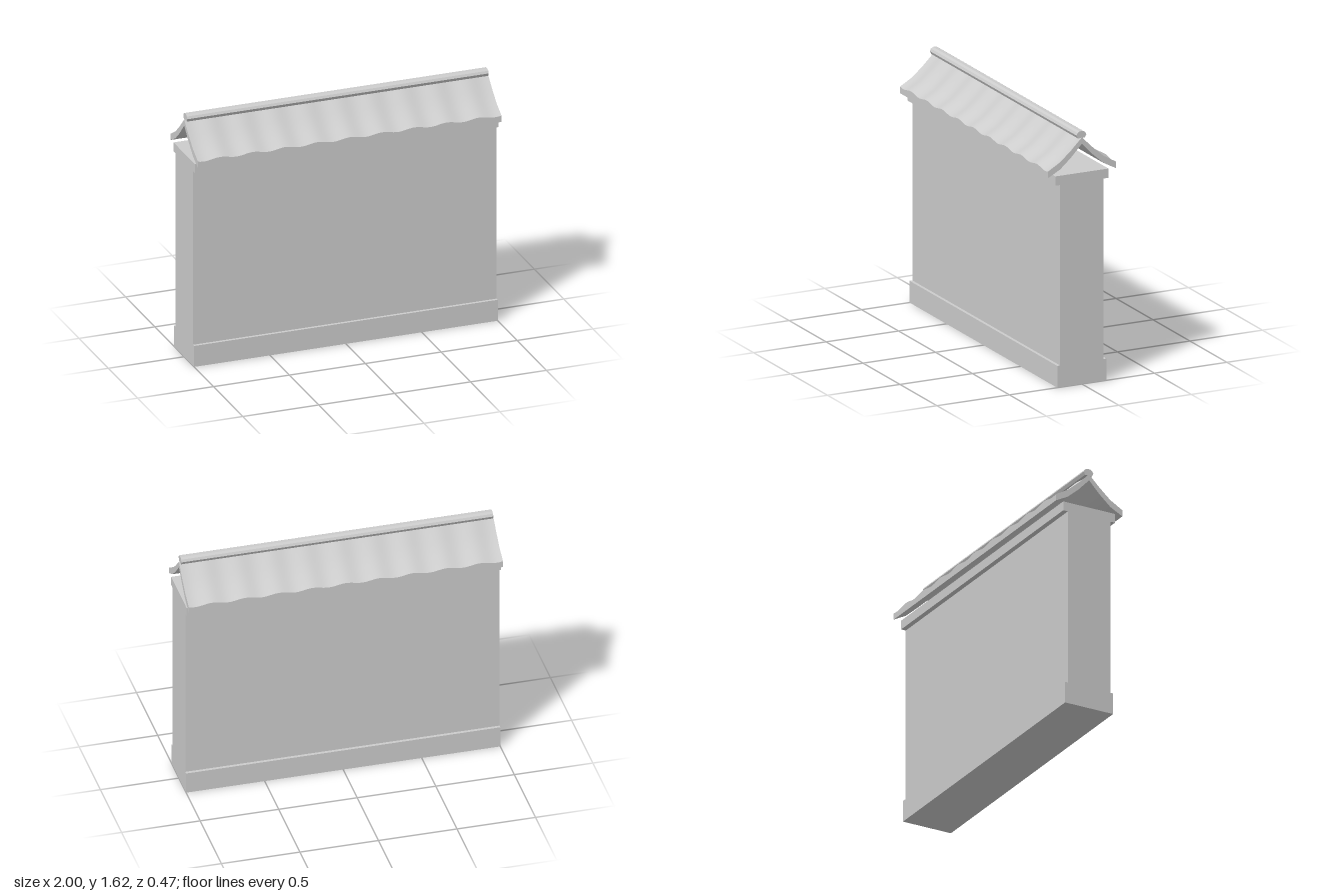
import * as THREE from 'three';
import { toCreasedNormals } from 'three/addons/utils/BufferGeometryUtils.js';

export function createModel() {
  const group = new THREE.Group();
  const stone = new THREE.MeshStandardMaterial({ color: 0xcccccc });
  stone.name = 'grey stone';

  const add = (name, geometry) => {
    const mesh = new THREE.Mesh(geometry, stone);
    mesh.name = name;
    group.add(mesh);
    return mesh;
  };

  // Extrudes a (z, y) profile along x, centred on x = 0
  const alongX = (points, length, steps = 1) => {
    const shape = new THREE.Shape(points.map(([z, y]) => new THREE.Vector2(z, y)));
    return new THREE.ExtrudeGeometry(shape, { depth: length, steps, bevelEnabled: false })
      .rotateY(-Math.PI / 2)
      .translate(length / 2, 0, 0);
  };

  // Wall: plinth, body and projecting cap
  const slab = (name, y0, y1, depth) =>
    add(name, new THREE.BoxGeometry(2, y1 - y0, depth).translate(0, (y0 + y1) / 2, 0));
  slab('plinth', 0, 0.14, 0.34);
  slab('wallBody', 0.14, 1.3, 0.3);
  slab('wallCap', 1.3, 1.36, 0.366);

  // Roof slope: curved slab with a rippled upper face and a plain underside
  const under = [[0, 1.545], [0.075, 1.466], [0.15, 1.4], [0.235, 1.355]];
  const upper = [[0.235, 1.4], [0.15, 1.449], [0.075, 1.514], [0, 1.588]];
  const slope = alongX([...under, ...upper], 2, 112);
  const pos = slope.attributes.position;
  for (let i = 0; i < pos.count; i++) {
    const z = pos.getZ(i), y = pos.getY(i);
    if (upper.some(([uz, uy]) => Math.abs(uz - z) < 1e-4 && Math.abs(uy - y) < 1e-4)) {
      pos.setY(i, y + 0.007 * Math.cos((pos.getX(i) * 2 * Math.PI) / 0.213));
    }
  }
  const tiles = toCreasedNormals(slope, 0.5);
  add('frontRoofSlope', tiles);
  add('backRoofSlope', tiles).rotation.y = Math.PI;

  // Faceted ridge along the top
  add('roofRidge', alongX([
    [-0.024, 1.58], [0.024, 1.58], [0.034, 1.6], [0.026, 1.615],
    [0.012, 1.624], [-0.012, 1.624], [-0.026, 1.615], [-0.034, 1.6],
  ], 1.986));

  return group;
}
